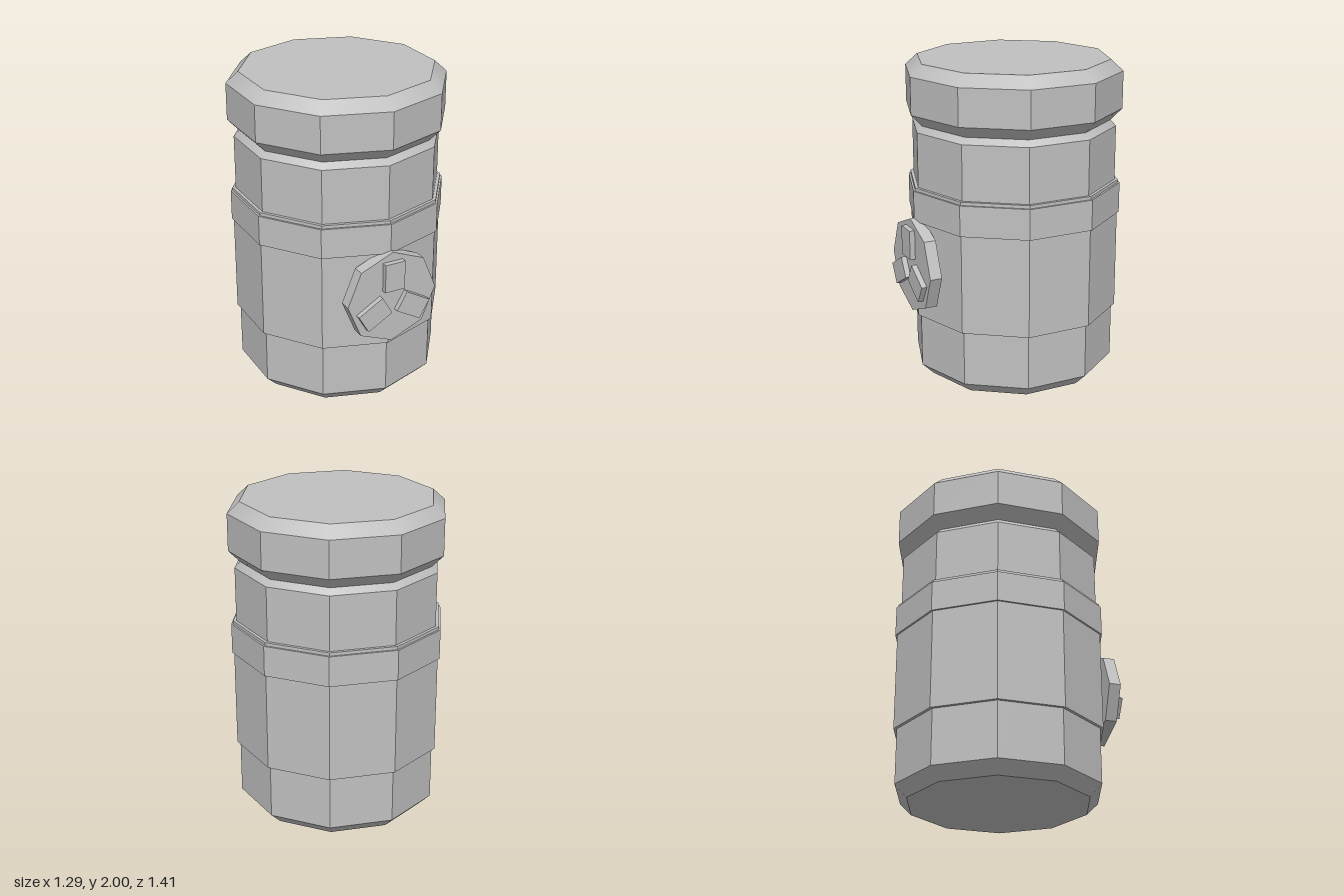
import * as THREE from 'three';

const SIDES = 10;
const CENTER_Z = -0.027;

export function createModel() {
  const grey = new THREE.MeshStandardMaterial({ color: 0xc0c0c0 });
  grey.name = 'grey';
  const model = new THREE.Group();
  model.name = 'canister';

  // Faceted normals baked into the geometry
  const facet = (g) => {
    const flat = g.toNonIndexed();
    flat.computeVertexNormals();
    return flat;
  };

  const add = (name, geometry, parent) => {
    const mesh = new THREE.Mesh(geometry, grey);
    mesh.name = name;
    parent.add(mesh);
    return mesh;
  };

  // Stacked ten-sided sections: straight walls are faceted, bevels are smooth
  const shell = new THREE.Group();
  shell.name = 'shell';
  shell.position.z = CENTER_Z;
  model.add(shell);

  const sections = [
    // name, bottom radius, top radius, bottom y, top y, open ended
    ['baseBevel', 0.565, 0.64, 0, 0.075, false],
    ['body', 0.64, 0.64, 0.075, 1.59, true],
    ['sleeve', 0.66, 0.66, 0.42, 1.25, false],
    ['band', 0.672, 0.672, 1.04, 1.23, false],
    ['shoulderBevel', 0.64, 0.605, 1.59, 1.627, true],
    ['lidLowerBevel', 0.605, 0.676, 1.627, 1.7, true],
    ['lid', 0.676, 0.676, 1.7, 1.93, true],
    ['lidTopBevel', 0.676, 0.6, 1.93, 2, false],
  ];
  for (const [name, r0, r1, y0, y1, open] of sections) {
    const g = new THREE.CylinderGeometry(r1, r0, y1 - y0, SIDES, 1, open);
    add(name, r0 === r1 ? facet(g) : g, shell).position.y = (y0 + y1) / 2;
  }

  // Octagonal dial on the front edge
  const dial = new THREE.Group();
  dial.name = 'dial';
  dial.position.set(0, 0.76, 0);
  model.add(dial);
  const plate = new THREE.CylinderGeometry(0.3, 0.3, 0.075, 8).rotateX(Math.PI / 2);
  add('dialPlate', facet(plate), dial).position.z = 0.633;

  // Three raised blocks around the dial centre
  for (let i = 0; i < 3; i++) {
    const block = new THREE.BoxGeometry(0.133, 0.184, 0.04).translate(0, 0.15, 0.684);
    add('dialBlock', block, dial).rotation.z = (i * Math.PI * 2) / 3;
  }

  return model;
}
